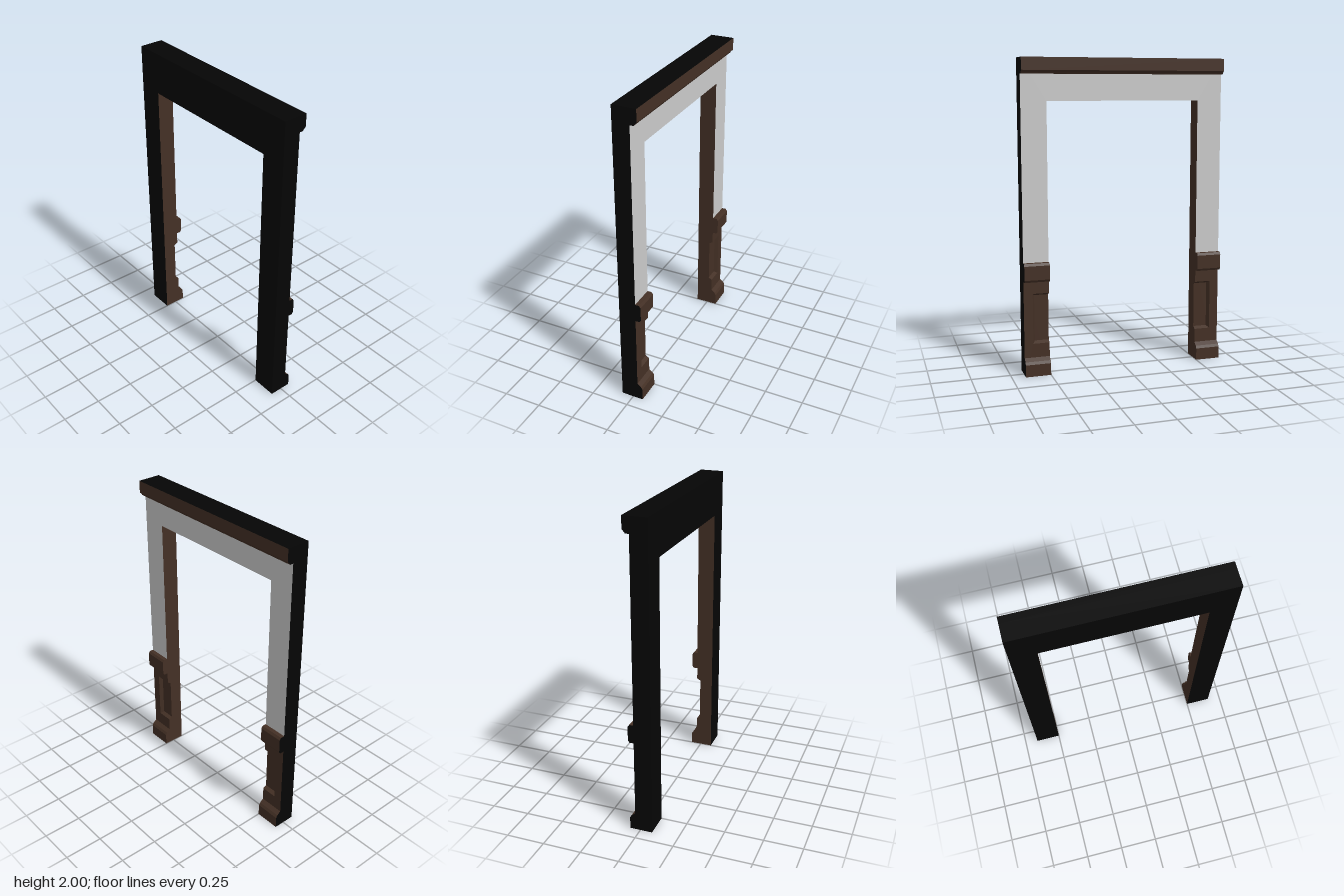
import * as THREE from 'three';

const OUT = 0.663, IN = 0.5, TOP = 2, HEAD = 1.735;      // frame outline
const FRONT = 0.078, BACK = -0.033, PANEL = -0.009;      // depths
const SPLIT = 0.67;                                      // wainscot meets plain wall behind the rail

const material = (color) => new THREE.MeshStandardMaterial({ color, flatShading: true, roughness: 1 });
const black = material(0x050505), wood = material(0x443025), plaster = material(0xcccccc);

const shapeOf = (pts) => new THREE.Shape(pts.map(([x, y]) => new THREE.Vector2(x, y)));

// Extrude an outline in x, y from z0 to z1
function slab(pts, z0, z1) {
  const geo = new THREE.ExtrudeGeometry(shapeOf(pts), { depth: z1 - z0, bevelEnabled: false });
  return geo.translate(0, 0, z0);
}

// Extrude a moulding profile (distance behind centre, height) from x0 to x1
function moulding(profile, x0, x1) {
  const geo = new THREE.ExtrudeGeometry(shapeOf(profile), { depth: x1 - x0, bevelEnabled: false });
  return geo.rotateY(Math.PI / 2).translate(x0, 0, 0);
}

// Outer faces are black, the back takes its own finish, all else is wood
function painted(name, source, backIndex = 1) {
  const geo = source.index ? source.toNonIndexed() : source;
  const p = geo.attributes.position;
  const tri = new THREE.Triangle(), n = new THREE.Vector3(), c = new THREE.Vector3();
  geo.clearGroups();
  for (let i = 0; i < p.count; i += 3) {
    tri.setFromAttributeAndIndices(p, i, i + 1, i + 2);
    tri.getNormal(n);
    tri.getMidpoint(c);
    const outer = n.z > 0.9
      || (Math.abs(n.x) > 0.9 && Math.abs(c.x) > OUT - 0.01)
      || (n.y > 0.9 && c.y > TOP - 0.01)
      || (n.y < -0.9 && c.y < 0.01);
    geo.addGroup(i, 3, outer ? 0 : n.z < -0.9 ? backIndex : 1);
  }
  geo.computeVertexNormals();
  const mesh = new THREE.Mesh(geo, [black, wood, plaster]);
  mesh.name = name;
  return mesh;
}

// Wainscot face: a stile with a sloped recess running to the opening
function panelFrame(s) {
  const edge = 0.605, low = 0.205, high = 0.53, slope = 0.014;
  const geo = slab([[IN, 0], [OUT, 0], [OUT, SPLIT], [IN, SPLIT], [IN, high],
    [edge, high], [edge, low], [IN, low]].map(([x, y]) => [s * x, y]), BACK, PANEL);
  const p = geo.attributes.position;
  const near = (a, b) => Math.abs(a - b) < 1e-4;
  for (let i = 0; i < p.count; i++) {
    if (!near(p.getZ(i), PANEL)) continue;
    if (near(Math.abs(p.getX(i)), edge)) p.setX(i, s * (edge - slope));
    if (near(p.getY(i), low)) p.setY(i, low + slope);
    if (near(p.getY(i), high)) p.setY(i, high - slope);
  }
  return geo;
}

export function createModel() {
  const model = new THREE.Group();
  model.name = 'doorFrame';

  // Upper wall with the opening
  model.add(painted('upperWall', slab([[-OUT, SPLIT], [-IN, SPLIT], [-IN, HEAD], [IN, HEAD],
    [IN, SPLIT], [OUT, SPLIT], [OUT, TOP], [-OUT, TOP]], BACK, FRONT), 2));

  // Cornice along the top of the back
  model.add(painted('cornice', moulding([[-BACK, 1.9], [0.057, 1.9], [0.062, 1.908], [0.076, 1.922],
    [0.076, TOP], [-BACK, TOP]], -OUT, OUT)));

  const rail = [[-BACK, 0.61], [0.06, 0.61], [0.07, 0.625], [0.07, 0.715], [0.06, 0.73], [-BACK, 0.73]];
  const plinth = [[-BACK, 0], [0.068, 0], [0.068, 0.078], [0.058, 0.095], [-BACK, 0.115]];

  // Wainscoted lower legs
  for (const s of [1, -1]) {
    const leg = new THREE.Group();
    leg.name = s > 0 ? 'leftLeg' : 'rightLeg';
    const x0 = s > 0 ? IN : -OUT, x1 = s > 0 ? OUT : -IN;
    leg.add(
      painted('legCore', slab([[x0, 0], [x1, 0], [x1, SPLIT], [x0, SPLIT]], PANEL, FRONT)),
      painted('panelFrame', panelFrame(s)),
      painted('chairRail', moulding(rail, x0, x1)),
      painted('plinth', moulding(plinth, x0, x1)),
    );
    model.add(leg);
  }
  return model;
}
